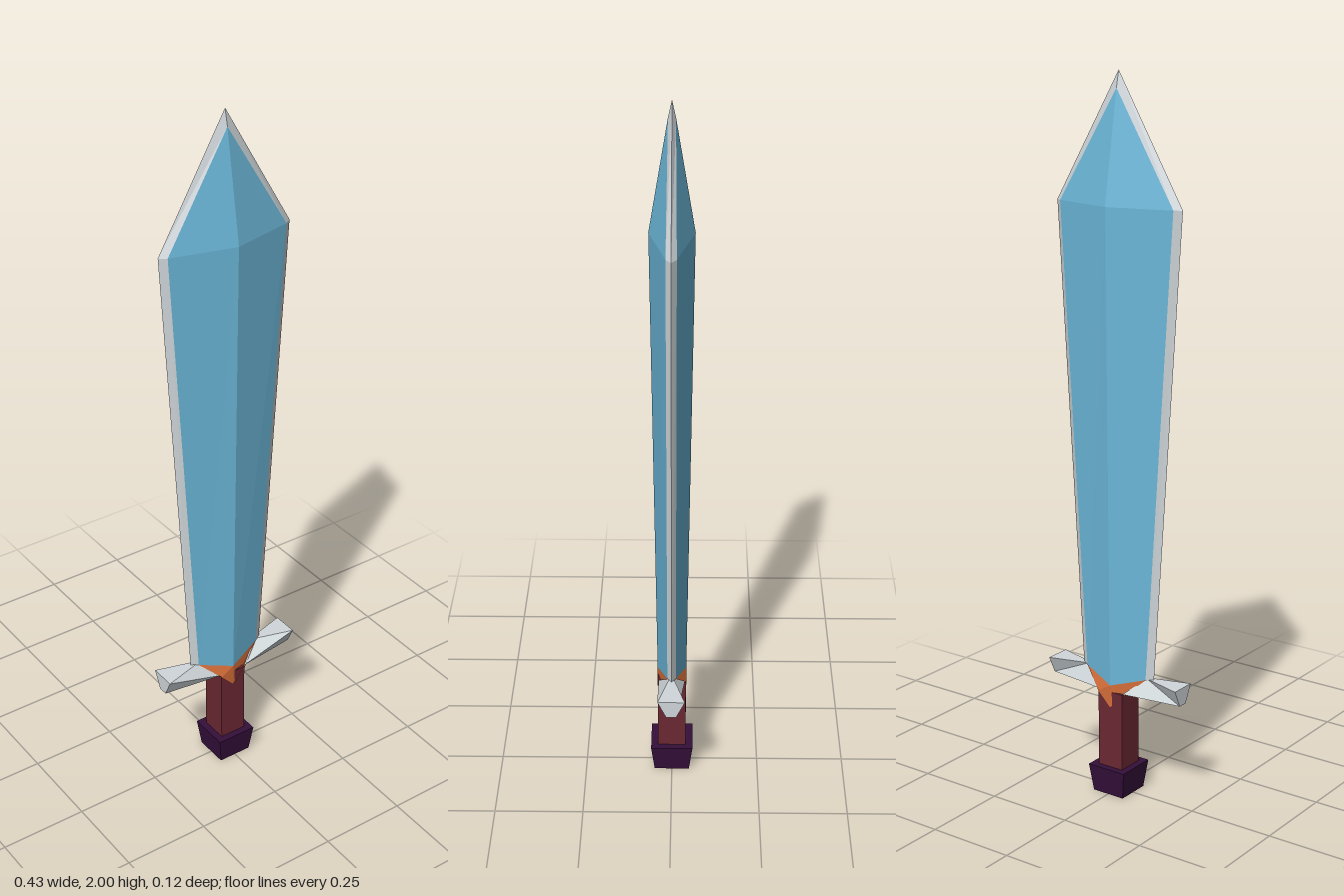
import * as THREE from 'three';

const flat = (name, color) => {
  const m = new THREE.MeshStandardMaterial({ color, flatShading: true });
  m.name = name;
  return m;
};

// Flat panels given for the +x +z quarter, mirrored to the chosen z sides and both x sides
function mirroredPanels(panels, zSides = [1, -1]) {
  const pos = [];
  for (const sx of [1, -1]) for (const sz of zSides) {
    for (const panel of panels) {
      const p = panel.map(([x, y, z]) => [x * sx, y, z * sz]);
      if (sx * sz < 0) p.reverse();
      for (let i = 1; i < p.length - 1; i++) pos.push(...p[0], ...p[i], ...p[i + 1]);
    }
  }
  const g = new THREE.BufferGeometry();
  g.setAttribute('position', new THREE.Float32BufferAttribute(pos, 3));
  g.computeVertexNormals();
  return g;
}

export function createModel() {
  const group = new THREE.Group();
  const blue = flat('bladeBlue', 0x6cb8da);
  const steel = flat('paleSteel', 0xd0d7da);
  const orange = flat('orange', 0xd26c38);
  const red = flat('darkRed', 0x6b2833);
  const purple = flat('darkPurple', 0x350f3b);
  const add = (name, geometry, material, y = 0) => {
    const mesh = new THREE.Mesh(geometry, material);
    mesh.name = name;
    mesh.position.y = y;
    group.add(mesh);
  };

  // Blade: ridge, bevel line and cutting edge
  const ridge = [[0, 0.325, 0.041], [0, 1.655, 0.06], [0, 1.955, 0.01]];
  const bevel = [[0.1, 0.355, 0.012], [0.182, 1.655, 0.014], ridge[2]];
  const edge = [[0.12, 0.355, 0], [0.202, 1.655, 0], [0, 2, 0]];
  add('blade', mirroredPanels([
    [ridge[0], bevel[0], bevel[1], ridge[1]],
    [ridge[1], bevel[1], ridge[2]],
  ]), blue);
  add('cuttingEdge', mirroredPanels([
    [bevel[0], edge[0], edge[1], bevel[1]],
    [bevel[1], edge[1], edge[2], bevel[2]],
    [bevel[0], [0.1, 0.355, 0], edge[0]],
  ]), steel);

  // Collar between the blade and the handle
  add('collar', mirroredPanels([
    [[0, 0.26, 0.042], [0.04, 0.302, 0.042], bevel[0], ridge[0]],
  ]), orange);

  // Crossguard: arms with twisted sides, wide at the outer top and inner bottom
  const outTop = [0.216, 0.357, 0.038], outLow = [0.216, 0.307, 0.014];
  const inTop = [0.1, 0.357, 0.005], inLow = [0.04, 0.307, 0.038];
  const mid = ([x, y]) => [x, y, 0];
  add('crossguard', mirroredPanels([
    [mid(inTop), inTop, outTop, mid(outTop)],
    [mid(inLow), mid(outLow), outLow, inLow],
    [outLow, mid(outLow), mid(outTop), outTop],
  ]), steel);
  add('crossguardFront', mirroredPanels([[inLow, outLow, outTop], [inLow, outTop, inTop]], [1]), steel);
  add('crossguardBack', mirroredPanels([[inTop, outLow, outTop], [inLow, outLow, inTop]], [-1]), steel);

  // Handle
  add('handle', new THREE.BoxGeometry(0.08, 0.24, 0.08), red, 0.185);

  // Pommel: square block, narrower at the bottom
  const pommel = new THREE.CylinderGeometry(0.06 * Math.SQRT2, 0.05 * Math.SQRT2, 0.08, 4);
  pommel.rotateY(Math.PI / 4);
  add('pommel', pommel, purple, 0.04);

  return group;
}
